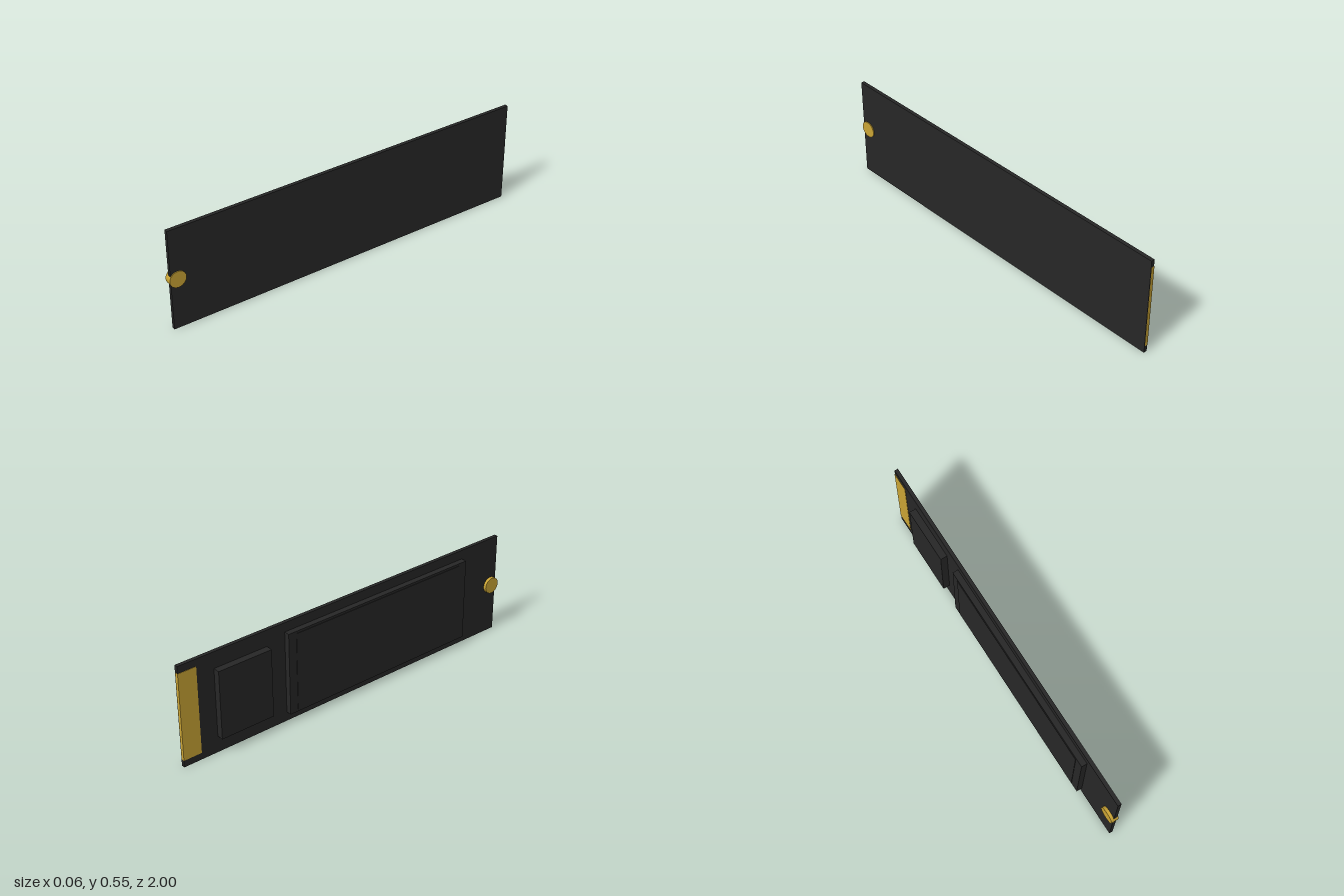
import * as THREE from 'three';

export function createModel() {
  const group = new THREE.Group();
  const black = new THREE.MeshStandardMaterial({ color: 0x272727 });
  black.name = 'matte black';
  const gold = new THREE.MeshStandardMaterial({ color: 0xcba535 });
  gold.name = 'gold';

  // Box given by its extents along each axis
  function slab(name, material, [x0, x1], [y0, y1], [z0, z1]) {
    const mesh = new THREE.Mesh(new THREE.BoxGeometry(x1 - x0, y1 - y0, z1 - z0), material);
    mesh.position.set((x0 + x1) / 2, (y0 + y1) / 2, (z0 + z1) / 2);
    mesh.name = name;
    group.add(mesh);
  }

  // Upright circuit board with the components on its -x face
  slab('circuitBoard', black, [0.005, 0.024], [0, 0.548], [-0.9995, 0.993]);
  slab('edgeConnector', gold, [0.003, 0.021], [0.038, 0.51], [-1, -0.9]);
  slab('controllerChip', black, [-0.031, 0.005], [0.089, 0.46], [-0.805, -0.505]);
  slab('memoryBlock', black, [-0.025, 0.005], [0.05, 0.498], [-0.4, 0.742]);
  slab('coverPlate', black, [-0.0275, -0.025], [0.063, 0.486], [-0.355, 0.695]);

  // Mounting screw through the end of the board, just past its edge
  const screw = new THREE.Mesh(new THREE.CylinderGeometry(0.044, 0.044, 0.04, 24), gold);
  screw.rotation.z = Math.PI / 2;
  screw.position.set(0.009, 0.274, 0.956);
  screw.name = 'mountingScrew';
  group.add(screw);

  return group;
}
